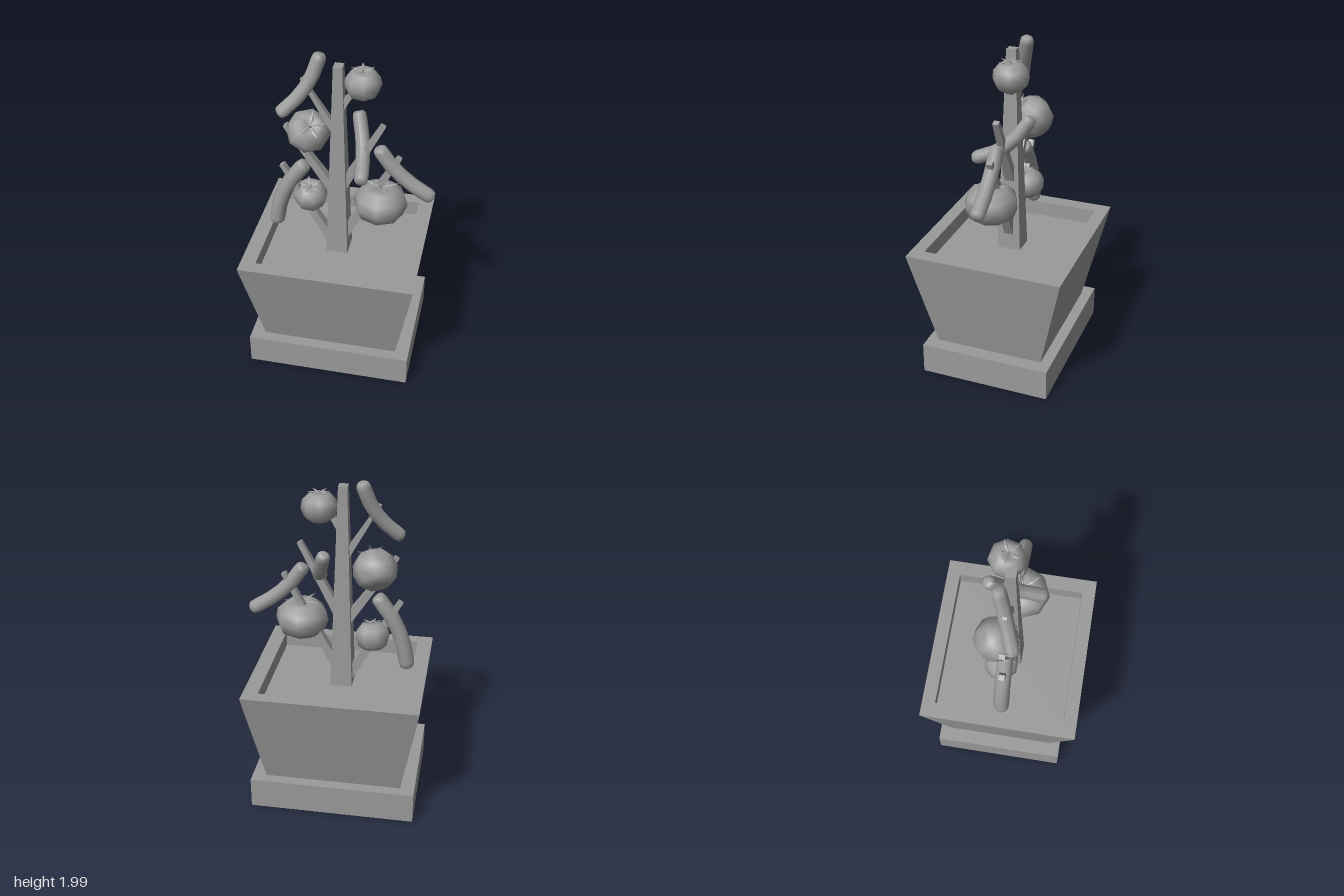
import * as THREE from 'three';

const V = (a) => new THREE.Vector3(...a);
const mat = new THREE.MeshStandardMaterial({ color: 0x9a9a9a });

function add(parent, name, geometry) {
  const mesh = new THREE.Mesh(geometry, mat);
  mesh.name = name;
  parent.add(mesh);
  return mesh;
}

// Box standing on y = 0 whose top has a different size from its bottom
function taperedBox(w0, d0, w1, d1, h) {
  const g = new THREE.BoxGeometry(1, h, 1).translate(0, h / 2, 0).toNonIndexed();
  const p = g.attributes.position;
  for (let i = 0; i < p.count; i++) {
    const top = p.getY(i) > h / 2;
    p.setX(i, p.getX(i) * (top ? w1 : w0));
    p.setZ(i, p.getZ(i) * (top ? d1 : d0));
  }
  g.computeVertexNormals();
  return g;
}

// Square frame with a vertical inner wall and sloping outer wall
function rimGeometry(w0, d0, w1, d1, wi, di, h) {
  const rect = (w, d) => [[-1, -1], [1, -1], [1, 1], [-1, 1]].map(([x, y]) => new THREE.Vector2(x * w / 2, y * d / 2));
  const shape = new THREE.Shape(rect(w1, d1));
  shape.holes.push(new THREE.Path(rect(wi, di).reverse()));
  const g = new THREE.ExtrudeGeometry(shape, { depth: h, bevelEnabled: false }).rotateX(-Math.PI / 2);
  const p = g.attributes.position;
  for (let i = 0; i < p.count; i++) {
    if (p.getY(i) < h / 2 && Math.abs(p.getX(i)) > wi / 2 + 0.01) {
      p.setX(i, p.getX(i) * w0 / w1);
      p.setZ(i, p.getZ(i) * d0 / d1);
    }
  }
  g.computeVertexNormals();
  return g;
}

// Rounded stick bent along a curve from a through m to b
function podGeometry(a, m, b, r) {
  const [A, M, B] = [V(a), V(m), V(b)];
  const control = M.clone().multiplyScalar(2).addScaledVector(A, -0.5).addScaledVector(B, -0.5);
  const curve = new THREE.QuadraticBezierCurve3(A, control, B);
  const side = M.clone().sub(A).cross(B.clone().sub(A)).normalize();
  const profile = [[0, 0], [0.62, 0], [0.9, 0.025], [1, 0.08], [1, 0.3], [1, 0.5], [1, 0.7], [1, 0.92], [0.9, 0.975], [0.62, 1], [0, 1]];
  const g = new THREE.LatheGeometry(profile.map(([x, y]) => new THREE.Vector2(x * r, y)), 10);
  const p = g.attributes.position;
  for (let i = 0; i < p.count; i++) {
    const t = THREE.MathUtils.clamp(p.getY(i), 0, 1);
    const n = side.clone().cross(curve.getTangent(t));
    const q = curve.getPoint(t).addScaledVector(side, p.getX(i)).addScaledVector(n, p.getZ(i));
    p.setXYZ(i, q.x, q.y, q.z);
  }
  g.computeVertexNormals();
  return g;
}

// Round fruit with a five-leaf calyx
function makeFruit(center, r, half, tilt) {
  const fruit = new THREE.Group();
  fruit.name = 'roundFruit';
  const profile = [[0, -0.88], [0.5, -1], [0.84, -0.68], [1, -0.05], [0.92, 0.5], [0.6, 0.95], [0.35, 1], [0, 0.85]];
  add(fruit, 'fruitBody', new THREE.LatheGeometry(profile.map(([x, y]) => new THREE.Vector2(x * r, y * half)), 8));
  for (let i = 0; i < 5; i++) {
    const g = new THREE.OctahedronGeometry(1).scale(0.35 * r, 0.04 * r, 0.09 * r).translate(0.35 * r, 0, 0);
    g.rotateZ(0.16).rotateY(i * Math.PI * 0.4 + 0.3).translate(0, half, 0);
    add(fruit, 'calyxLeaf', g);
  }
  add(fruit, 'fruitStem', new THREE.CylinderGeometry(0.05 * r, 0.07 * r, 0.25 * r, 5).translate(0, half, 0));
  fruit.position.set(...center);
  fruit.rotation.set(...tilt);
  return fruit;
}

export function createModel() {
  const model = new THREE.Group();
  model.name = 'pottedPlant';

  // Base and square pot
  add(model, 'saucer', taperedBox(0.99, 0.79, 0.99, 0.79, 0.19)).position.set(-0.025, 0, 0.001);
  add(model, 'potBody', taperedBox(0.82, 0.66, 1.0, 0.897, 0.52)).position.set(-0.024, 0.19, 0.001);
  add(model, 'potRim', rimGeometry(1.0, 0.897, 1.03, 0.94, 0.85, 0.78, 0.095)).position.set(-0.024, 0.71, 0.001);

  // Trunk
  add(model, 'trunk', taperedBox(0.13, 0.145, 0.052, 0.057, 1.25)).position.set(-0.031, 0.7, 0.007);

  // Tapered branches: start, end, tip width
  const branches = [
    [[-0.06, 0.74], [-0.37, 1.265], 0.03],
    [[-0.04, 1.1], [-0.34, 1.54], 0.03],
    [[-0.035, 1.51], [-0.238, 1.85], 0.018],
    [[-0.02, 0.77], [0.32, 1.4], 0.03],
    [[-0.02, 1.14], [0.222, 1.6], 0.03],
    [[-0.02, 1.69], [0.08, 1.84], 0.018],
  ];
  for (const [[x0, y0], [x1, y1], tip] of branches) {
    const branch = add(model, 'branch', taperedBox(tip + 0.025, tip + 0.03, tip, tip + 0.004, Math.hypot(x1 - x0, y1 - y0)));
    branch.position.set(x0, y0, 0.008);
    branch.rotation.z = -Math.atan2(x1 - x0, y1 - y0);
  }

  // Round fruits
  const fruits = [
    [[0.097, 1.83, -0.033], 0.105, 0.081, [0.08, 0.2, 0]],
    [[-0.222, 1.477, -0.043], 0.13, 0.106, [0.7, 0, -0.3]],
    [[-0.212, 1.045, -0.022], 0.104, 0.08, [0.3, 0.4, -0.1]],
    [[0.222, 1.1, 0.04], 0.16, 0.106, [0, 0, 0]],
  ];
  for (const f of fruits) model.add(makeFruit(...f));

  // Long bent pods
  const pods = [
    [[-0.143, 1.985, -0.04], [-0.22, 1.79, 0.01], [-0.362, 1.643, 0.07], 0.041],
    [[0.055, 1.59, -0.138], [0.105, 1.42, -0.01], [0.13, 1.325, 0.188], 0.041],
    [[0.2, 1.455, 0.01], [0.33, 1.285, 0.01], [0.524, 1.152, 0.01], 0.043],
    [[-0.225, 1.288, 0.01], [-0.36, 1.08, 0.01], [-0.417, 0.836, 0.01], 0.047],
  ];
  for (const p of pods) add(model, 'pod', podGeometry(...p));

  return model;
}
